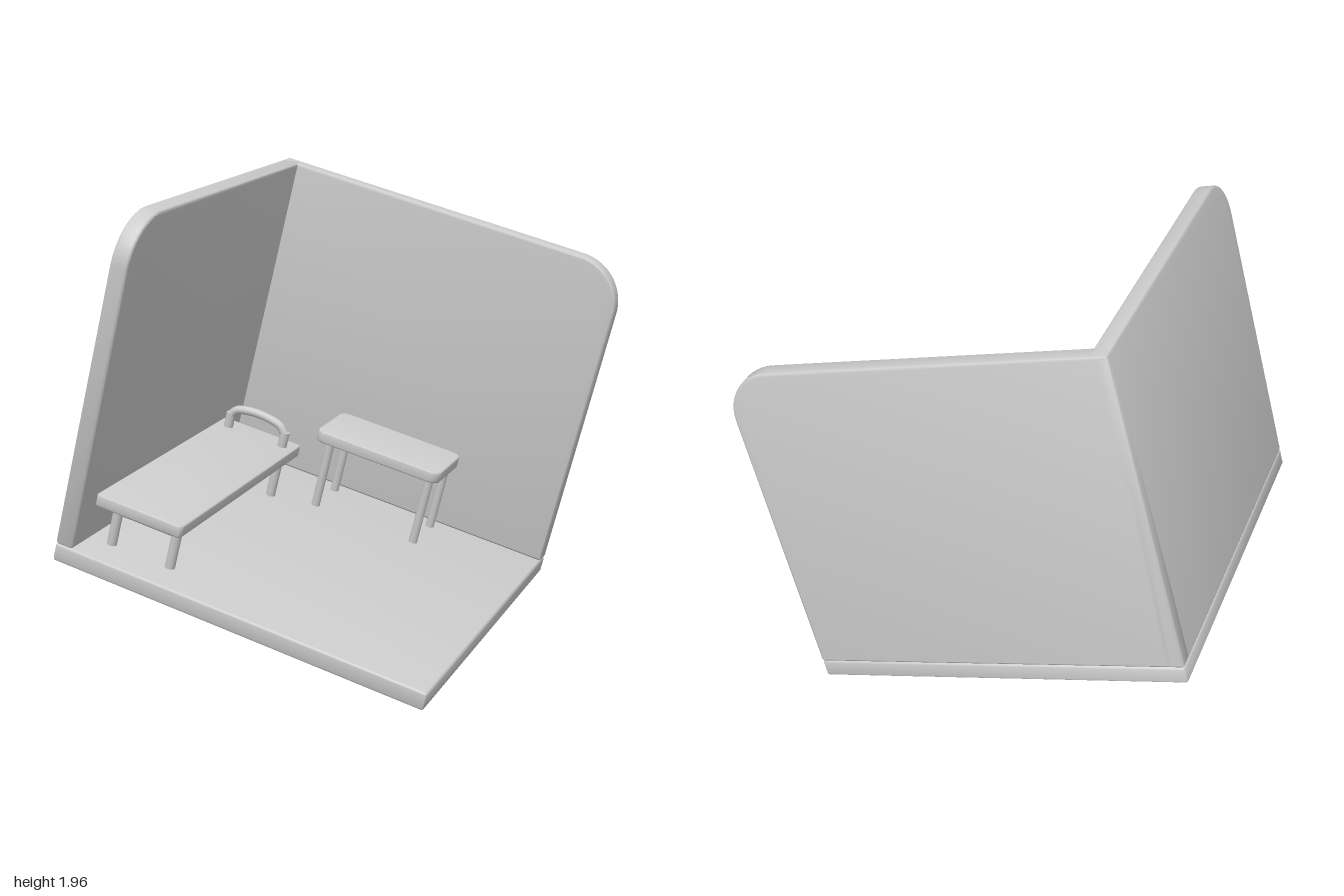
import * as THREE from 'three';
import { toCreasedNormals } from 'three/addons/utils/BufferGeometryUtils.js';

const material = new THREE.MeshStandardMaterial({ color: 0xcccccc });

function part(name, geometry, parent) {
  const mesh = new THREE.Mesh(geometry, material);
  mesh.name = name;
  parent.add(mesh);
  return mesh;
}

// Bevelled plate spanning [x0,x1] x [y0,y1], from z = 0 to thickness.
// Corner radii run bottom-left, bottom-right, top-right, top-left.
function plate(x0, x1, y0, y1, thickness, radii, bevel = 0.01) {
  const b = bevel;
  const [bl, br, tr, tl] = radii.map((r) => Math.max(r - b, 0.002));
  const l = x0 + b, r = x1 - b, d = y0 + b, t = y1 - b;
  const s = new THREE.Shape();
  s.moveTo(l + bl, d);
  s.lineTo(r - br, d);
  s.absarc(r - br, d + br, br, -Math.PI / 2, 0);
  s.lineTo(r, t - tr);
  s.absarc(r - tr, t - tr, tr, 0, Math.PI / 2);
  s.lineTo(l + tl, t);
  s.absarc(l + tl, t - tl, tl, Math.PI / 2, Math.PI);
  s.lineTo(l, d + bl);
  s.absarc(l + bl, d + bl, bl, Math.PI, Math.PI * 1.5);
  const g = new THREE.ExtrudeGeometry(s, {
    depth: thickness - 2 * b, bevelEnabled: true, bevelThickness: b,
    bevelSize: b, bevelSegments: 3, curveSegments: 10,
  });
  g.translate(0, 0, b);
  return toCreasedNormals(g, 0.6);
}

// Horizontal plate: x and z ranges, top at the given height
function board(x0, x1, z0, z1, top, thickness, radii, bevel) {
  return plate(x0, x1, -z1, -z0, thickness, radii, bevel)
    .rotateX(-Math.PI / 2).translate(0, top - thickness, 0);
}

// Upright round leg
function leg(name, x, z, y0, y1, parent, radius = 0.021) {
  const mesh = part(name, new THREE.CylinderGeometry(radius, radius, y1 - y0, 20), parent);
  mesh.position.set(x, (y0 + y1) / 2, z);
}

export function createModel() {
  const model = new THREE.Group();
  model.name = 'roomCorner';

  // The whole room is tipped forward and turned
  const room = new THREE.Group();
  room.name = 'tiltedRoom';
  room.rotation.set(0.278, 0.262, 0, 'XYZ');
  room.position.y = 0.275;
  model.add(room);

  const H = 0.815, T = 0.075, TOP = 1.472, R = 0.21;

  // Floor and the two walls, each wall with one rounded free corner
  part('floor', board(-H, H, -H, H, T, T, [0, 0, 0, 0]), room);
  part('backWall', plate(-H, H, T, TOP, T, [0, 0, 0, R]).translate(0, 0, -H), room);
  part('sideWall', plate(-H, H, T, TOP, T, [0, 0, 0, R])
    .rotateY(Math.PI / 2).translate(H - T, 0, 0), room);

  // Bench along the back wall
  const bench = new THREE.Group();
  bench.name = 'bench';
  room.add(bench);
  part('benchSeat', board(-0.755, 0.46, -0.71, -0.32, 0.317, 0.052, [0.02, 0.02, 0.02, 0.02], 0.008), bench);
  for (const x of [-0.64, 0.37]) {
    for (const z of [-0.38, -0.65]) {
      leg('benchLeg', x, z, T, x > 0 ? 0.385 : 0.28, bench);
    }
    const rail = part('benchRail', new THREE.CylinderGeometry(0.015, 0.015, 0.27, 14), bench);
    rail.rotation.x = Math.PI / 2;
    rail.position.set(x, 0.225, -0.515);
  }

  // Arched armrest joining the tall right-hand legs
  const arch = new THREE.CatmullRomCurve3([
    [0.375, -0.65], [0.405, -0.625], [0.421, -0.56], [0.421, -0.48], [0.405, -0.41], [0.375, -0.38],
  ].map(([y, z]) => new THREE.Vector3(0.37, y, z)));
  part('armrest', new THREE.TubeGeometry(arch, 28, 0.019, 14), bench);

  // Small table against the side wall
  const table = new THREE.Group();
  table.name = 'table';
  room.add(table);
  part('tableTop', board(0.41, 0.735, -0.255, 0.34, 0.432, 0.052, [0.045, 0.045, 0.045, 0.045], 0.008), table);
  for (const x of [0.445, 0.675]) {
    for (const z of [-0.185, 0.295]) leg('tableLeg', x, z, T, 0.39, table, 0.019);
  }

  return model;
}
